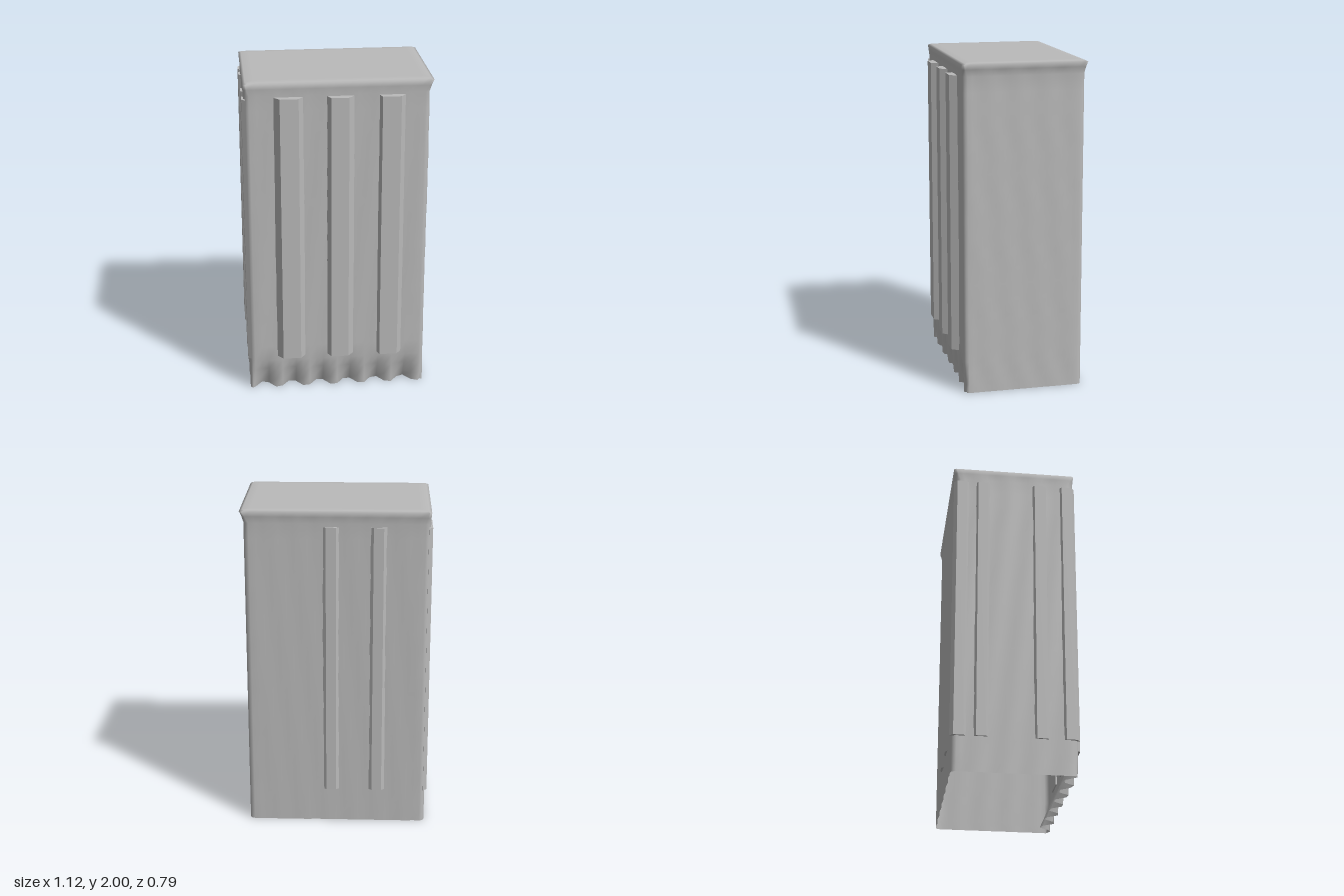
import * as THREE from 'three';

const grey = new THREE.MeshStandardMaterial({ color: 0xbababa, side: THREE.DoubleSide });
grey.name = 'concrete grey';

// Evenly divided rounded rectangle, counter-clockwise seen from above
function outline(x0, x1, z0, z1, r, n) {
  const pts = [];
  const corners = [[x1 - r, z1 - r, 0], [x0 + r, z1 - r, 1], [x0 + r, z0 + r, 2], [x1 - r, z0 + r, 3]];
  const arc = corners.map(([cx, cz, q]) => [0, 1, 2, 3].map(i => {
    const a = (q + i / 3) * Math.PI / 2;
    return [cx + r * Math.cos(a), cz + r * Math.sin(a)];
  }));
  arc.forEach((c, k) => {
    pts.push(...c);
    const a = c[3], b = arc[(k + 1) % 4][0];
    for (let i = 1; i < n; i++) pts.push([a[0] + (b[0] - a[0]) * i / n, a[1] + (b[1] - a[1]) * i / n]);
  });
  return pts;
}

// Open-bottomed shell: rings of the outline stacked upwards, then drawn in over the roof
function shellGeometry() {
  const rings = [];
  const ys = [0.005, 0.06, 0.13, 0.2];
  for (let i = 1; i <= 18; i++) ys.push(0.2 + i * 1.72 / 18);
  ys.forEach(y => {
    const foot = Math.max(0, 1 - y / 0.2);
    rings.push(outline(-0.55, 0.54, -0.38, 0.352, 0.03, 24).map(([x, z]) => {
      const bump = 0.003 * Math.sin(x * 41 + y * 9) * Math.sin(z * 37 - y * 13);
      // Wavy lower hem along the front
      const wave = z > 0.34 ? 0.09 * foot * (0.5 - 0.5 * Math.cos((x + 0.55) * 36)) : 0;
      return [x + (Math.abs(z) < 0.33 ? bump : 0), y, z - wave + (Math.abs(x) < 0.5 ? bump : 0)];
    }));
  });
  // Flared rim and flat roof
  [[-0.553, 0.55, -0.385, 0.355, 0.02, 1.96], [-0.555, 0.562, -0.392, 0.358, 0.015, 1.99],
    [-0.54, 0.545, -0.375, 0.342, 0.015, 1.998], [-0.49, 0.5, -0.335, 0.3, 0.01, 2],
    [-0.1, 0.1, -0.1, 0.1, 0.01, 2]].forEach(([a, b, c, d, r, y]) =>
    rings.push(outline(a, b, c, d, r, 24).map(([x, z]) => [x, y, z])));

  const m = rings[0].length, pos = rings.flat(2), idx = [];
  for (let j = 0; j < rings.length - 1; j++) for (let i = 0; i < m; i++) {
    const a = j * m + i, b = j * m + (i + 1) % m;
    idx.push(a, a + m, b, b, a + m, b + m);
  }
  const centre = pos.length / 3, last = (rings.length - 1) * m;
  pos.push(0, 2, 0);
  for (let i = 0; i < m; i++) idx.push(last + i, centre, last + (i + 1) % m);
  const g = new THREE.BufferGeometry();
  g.setAttribute('position', new THREE.Float32BufferAttribute(pos, 3));
  g.setIndex(idx);
  g.computeVertexNormals();
  return g;
}

// Vertical bar with a trapezoid section, given as [x, z] corners
function bar(section, y0, y1) {
  const s = new THREE.Shape(section.map(([x, z]) => new THREE.Vector2(x, -z)));
  return new THREE.ExtrudeGeometry(s, { depth: y1 - y0, bevelEnabled: false })
    .rotateX(-Math.PI / 2).translate(0, y0, 0);
}

export function createModel() {
  const model = new THREE.Group();
  model.name = 'tower block';
  const add = (name, geometry) => {
    const mesh = new THREE.Mesh(geometry, grey);
    mesh.name = name;
    model.add(mesh);
  };
  add('shell', shellGeometry());

  // Three pilasters on the front: base left, face left, face right, base right
  [[-0.385, -0.345, -0.235, -0.2], [-0.07, -0.045, 0.06, 0.1], [0.24, 0.255, 0.365, 0.4]]
    .forEach(([a, b, c, d]) =>
      add('frontPilaster', bar([[a, 0.345], [b, 0.395], [c, 0.395], [d, 0.345]], 0.23, 1.91)));

  // Shallow ribs on the right-hand side
  [-0.34, -0.21, 0.14, 0.31].forEach(z =>
    add('sideRib', bar([[-0.54, z - 0.05], [-0.563, z - 0.03], [-0.563, z + 0.03], [-0.54, z + 0.05]], 0.22, 1.9)));

  // Faint ribs on the back
  [-0.25, 0.03].forEach(x =>
    add('backRib', bar([[x - 0.06, -0.37], [x - 0.03, -0.392], [x + 0.03, -0.392], [x + 0.06, -0.37]], 0.22, 1.9)));
  return model;
}
